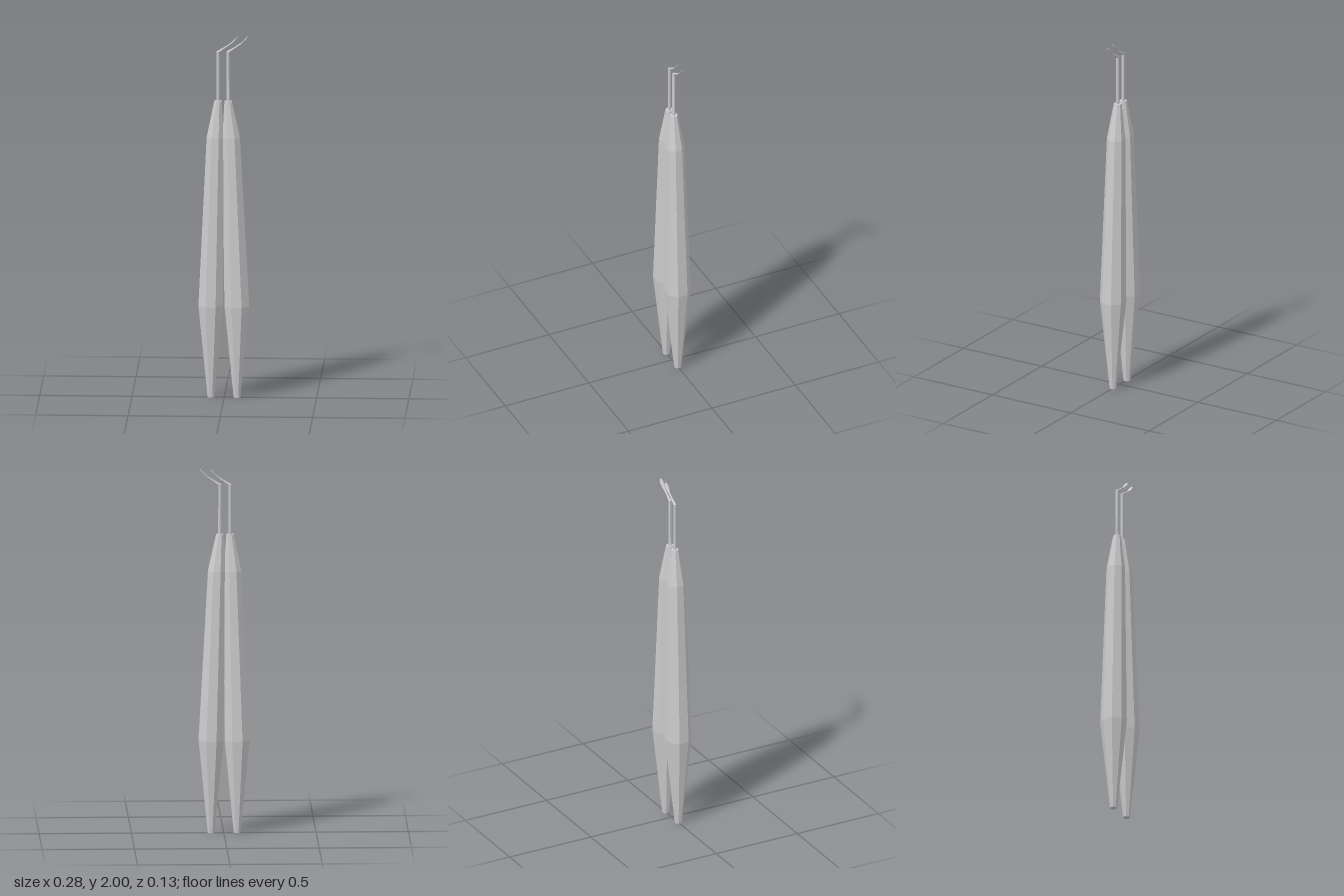
import * as THREE from 'three';

// Flat-shaded loft through elliptical rings [x, y, halfWidth, halfDepth, tilt], ordered bottom to top
function loft(rings, sides) {
  const points = rings.map(([x, y, w, d, tilt = 0]) =>
    Array.from({ length: sides }, (_, i) => {
      const a = ((i + 0.5) / sides) * Math.PI * 2;
      const k = 1 / Math.cos(Math.PI / sides);
      const u = Math.cos(a) * w * k;
      return [x + u * Math.cos(tilt), y - u * Math.sin(tilt), Math.sin(a) * d * k];
    }));
  const out = [];
  const last = rings.length - 1;
  const bottom = [rings[0][0], rings[0][1], 0];
  const top = [rings[last][0], rings[last][1], 0];
  for (let i = 0; i < sides; i++) {
    const j = (i + 1) % sides;
    for (let r = 0; r < last; r++) {
      const a = points[r], b = points[r + 1];
      out.push(...a[i], ...b[i], ...a[j], ...a[j], ...b[i], ...b[j]);
    }
    out.push(...bottom, ...points[0][i], ...points[0][j]);
    out.push(...top, ...points[last][j], ...points[last][i]);
  }
  const geometry = new THREE.BufferGeometry();
  geometry.setAttribute('position', new THREE.Float32BufferAttribute(out, 3));
  geometry.computeVertexNormals();
  return geometry;
}

export function createModel() {
  const metal = new THREE.MeshStandardMaterial({ color: 0xcccccc, flatShading: true });
  metal.name = 'pale grey metal';
  const model = new THREE.Group();
  model.name = 'pickTools';

  // x positions of the handle axis at its foot, shoulder and top
  const tools = [
    { name: 'rightTool', foot: -0.072, shoulder: -0.048, top: -0.034 },
    { name: 'leftTool', foot: 0.069, shoulder: 0.038, top: 0.021 },
  ];

  for (const { name, foot, shoulder, top } of tools) {
    const tool = new THREE.Group();
    tool.name = name;
    const add = (partName, rings, sides) => {
      const mesh = new THREE.Mesh(loft(rings, sides), metal);
      mesh.name = partName;
      tool.add(mesh);
    };

    // Eight-sided tapered handle, leaning inward above its widest ring
    add('handle', [
      [foot, 0, 0.018, 0.018],
      [foot, 0.51, 0.067, 0.067],
      [shoulder, 1.44, 0.047, 0.047],
      [top, 1.64, 0.02, 0.02],
    ], 8);

    // Thin straight shank, mitred at the bend
    add('shank', [
      [top, 1.63, 0.009, 0.008],
      [top, 1.91, 0.009, 0.008, 0.44],
    ], 8);

    // Angled neck flattening into a small rounded paddle
    add('paddleTip', [
      [top, 1.91, 0.009, 0.008, 0.44],
      [top + 0.03, 1.93, 0.005, 0.005, 0.95],
      [top + 0.06, 1.95, 0.004, 0.005, 0.93],
      [top + 0.075, 1.962, 0.003, 0.008, 0.9],
      [top + 0.087, 1.975, 0.0025, 0.011, 0.85],
      [top + 0.097, 1.987, 0.002, 0.01, 0.8],
      [top + 0.104, 1.996, 0.0015, 0.005, 0.8],
      [top + 0.106, 1.999, 0.001, 0.001, 0.8],
    ], 8);

    model.add(tool);
  }
  return model;
}
